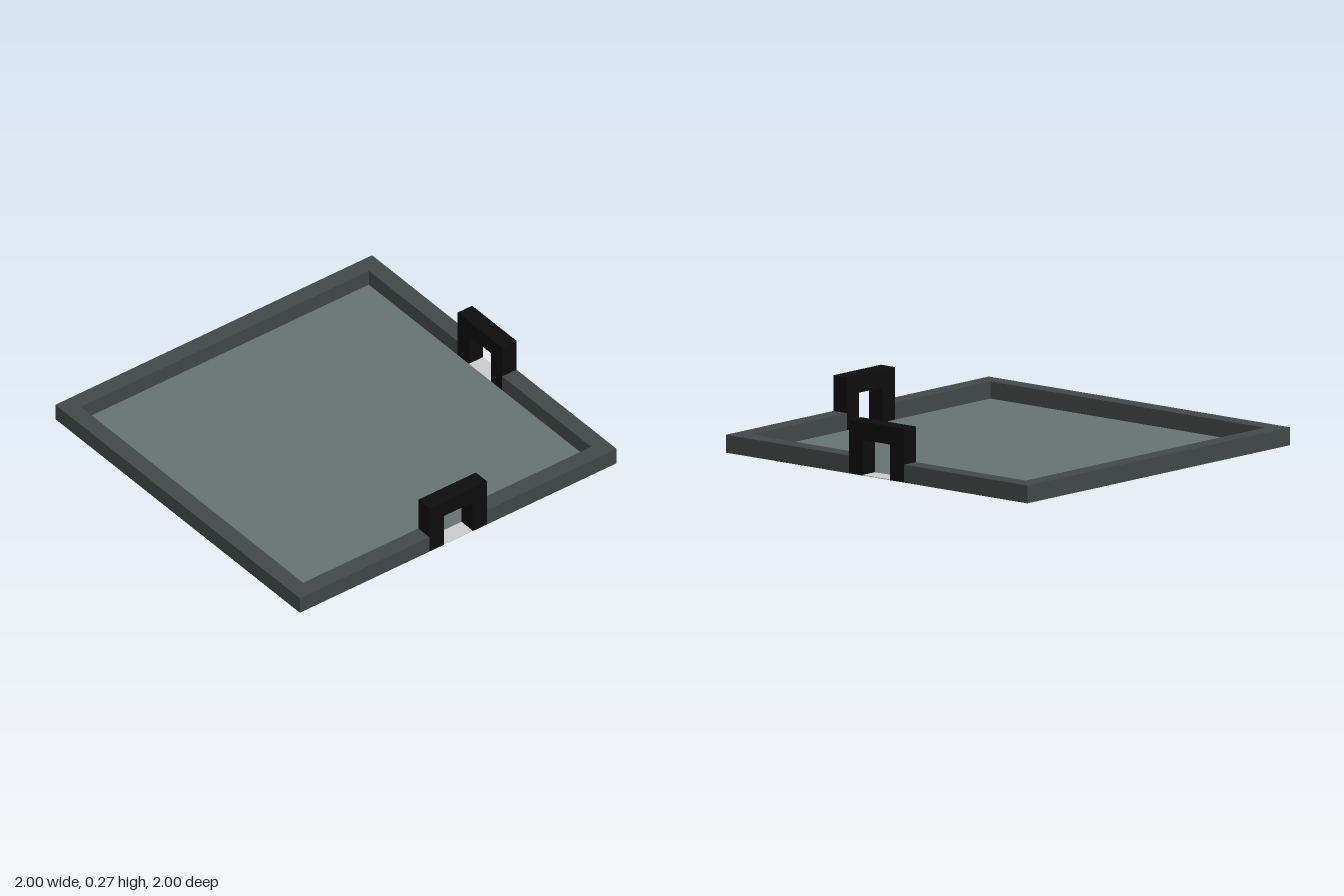
import * as THREE from 'three';

const U = 1 / 11;          // wall thickness, the module of the whole tray
const IN = 1 - U;          // inner face of the wall
const GATE = 2 * U;        // half width of a gate
const FLOOR = 0.004;       // floor sheet thickness

const material = (color) => new THREE.MeshStandardMaterial({ color, flatShading: true });

function extrude(points, depth) {
  const shape = new THREE.Shape(points.map(([x, y]) => new THREE.Vector2(x, y)));
  return new THREE.ExtrudeGeometry(shape, { depth, bevelEnabled: false });
}

export function createModel() {
  const model = new THREE.Group();
  const wallMat = material(0x414847);
  const floorMat = material(0x667370);
  const gateMat = material(0x0c0c0c);
  const sillMat = material(0xcccccc);

  const add = (parent, name, geometry, mat) => {
    const mesh = new THREE.Mesh(geometry, mat);
    mesh.name = name;
    parent.add(mesh);
    return mesh;
  };

  // Floor sheet inside the walls
  add(model, 'floor', new THREE.BoxGeometry(2 * IN, FLOOR, 2 * IN), floorMat).position.y = FLOOR / 2;

  // Rim wall in plan (x, -z), interrupted by the two gates
  const longRim = [
    [-GATE, -1], [-GATE, -IN], [-IN, -IN], [-IN, IN], [IN, IN], [IN, GATE],
    [1, GATE], [1, 1], [-1, 1], [-1, -1],
  ];
  const cornerRim = [[GATE, -1], [1, -1], [1, -GATE], [IN, -GATE], [IN, -IN], [GATE, -IN]];
  for (const [name, plan] of [['longRim', longRim], ['cornerRim', cornerRim]]) {
    add(model, name, extrude(plan, U), wallMat).rotation.x = -Math.PI / 2;
  }

  // Gate: square arch with a pale sill in its opening
  const arch = [
    [-GATE, 0], [-U, 0], [-U, 2 * U], [U, 2 * U], [U, 0], [GATE, 0], [GATE, 3 * U], [-GATE, 3 * U],
  ];
  for (const [name, angle] of [['frontGate', 0], ['leftGate', Math.PI / 2]]) {
    const gate = new THREE.Group();
    gate.name = name;
    gate.rotation.y = angle;
    add(gate, 'arch', extrude(arch, U), gateMat).position.z = IN;
    add(gate, 'sill', new THREE.BoxGeometry(2 * U, FLOOR, U), sillMat).position.set(0, FLOOR / 2, 1 - U / 2);
    model.add(gate);
  }

  return model;
}
